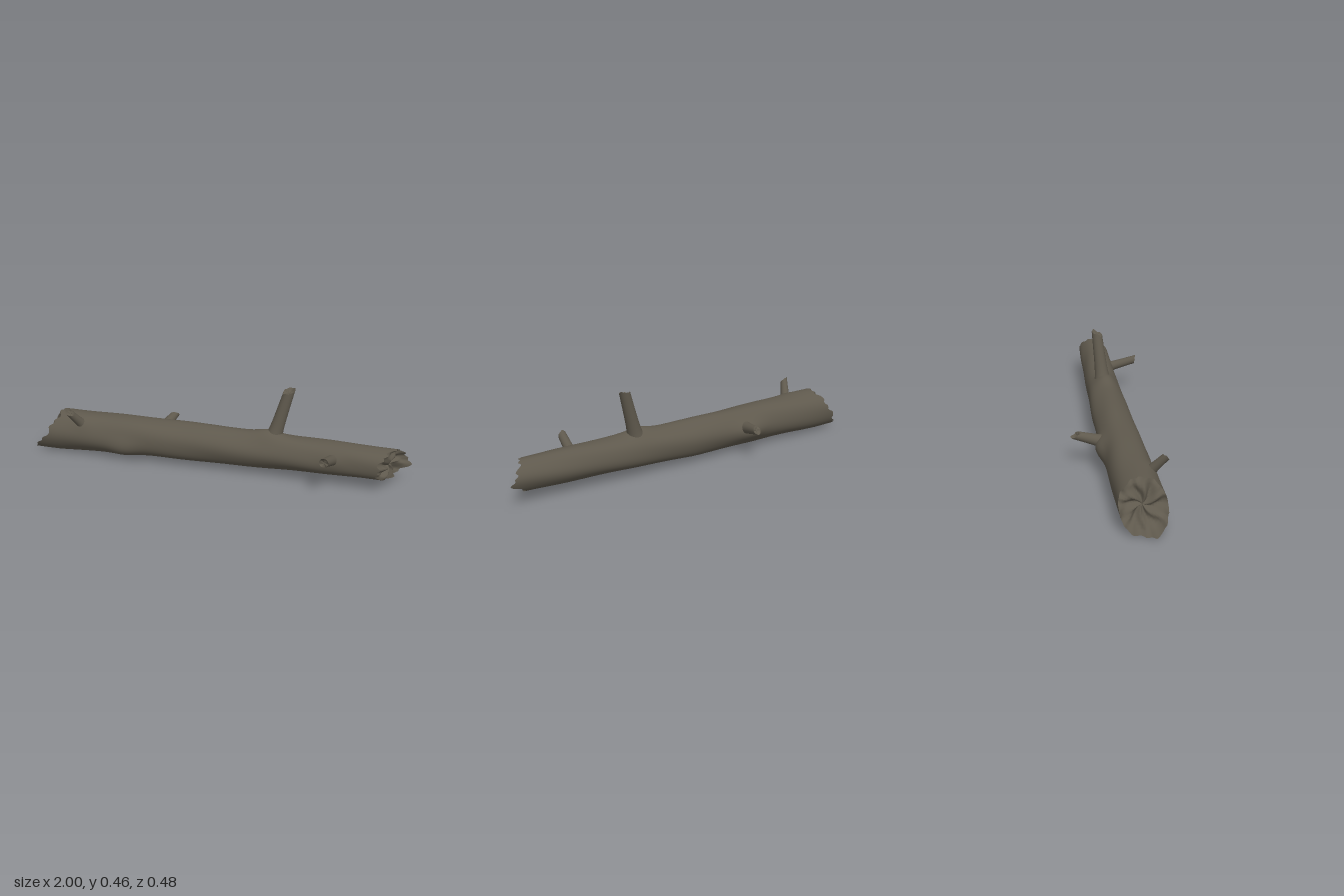
import * as THREE from 'three';

const { sin, cos, exp, PI } = Math;
const lerp = THREE.MathUtils.lerp;

// Closed-around surface: rows run along the length, columns run around it
function tube(rows, cols, point) {
  const pos = [], index = [];
  for (let i = 0; i <= rows; i++) {
    for (let j = 0; j < cols; j++) pos.push(...point(i / rows, (j / cols) * 2 * PI));
  }
  for (let i = 0; i < rows; i++) {
    for (let j = 0; j < cols; j++) {
      const a = i * cols + j, b = i * cols + ((j + 1) % cols);
      index.push(a, a + cols, b, b, a + cols, b + cols);
    }
  }
  const geo = new THREE.BufferGeometry();
  geo.setAttribute('position', new THREE.Float32BufferAttribute(pos, 3));
  geo.setIndex(index);
  geo.computeVertexNormals();
  return geo;
}

// Trunk axis and radius: x, centre y, centre z, radius
const stations = [
  [-1.0, 0.113, 0.0, 0.109], [-0.85, 0.114, 0.0, 0.11], [-0.5, 0.122, 0.0, 0.103],
  [0.0, 0.127, 0.0, 0.098], [0.4, 0.134, 0.013, 0.089], [0.9, 0.14, 0.033, 0.08], [1.0, 0.14, 0.036, 0.078],
];
// Swellings of the bark: x, angle, height, length, angular width
const swellings = [
  [0.28, PI / 2, 0.02, 0.07, 0.5],
  [-0.35, PI - 0.05, 0.026, 0.08, 0.5],
  [-0.48, -0.5, 0.018, 0.08, 0.6],
  [0.62, 0.2, 0.006, 0.05, 0.4],
  [-0.7, 0.8, 0.006, 0.05, 0.4],
];
const angleGap = (a, b) => Math.atan2(sin(a - b), cos(a - b));
const bell = (d, w) => exp(-(d * d) / (w * w));

function trunkPoint(x, a, scale = 1) {
  let k = 0;
  while (k < stations.length - 2 && x > stations[k + 1][0]) k++;
  const s = stations[k], e = stations[k + 1];
  const t = THREE.MathUtils.clamp((x - s[0]) / (e[0] - s[0]), 0, 1);
  let r = lerp(s[3], e[3], t) + 0.0015 * sin(5 * a + 6 * x) + 0.001 * sin(17 * x + 2 * a);
  for (const [sx, sa, h, len, wide] of swellings) r += h * bell(x - sx, len) * bell(angleGap(a, sa), wide);
  r *= scale;
  return [x, lerp(s[1], e[1], t) + r * sin(a), lerp(s[2], e[2], t) + r * cos(a)];
}

// Splintered rims at both ends
const splinter = (a) => 0.008 * sin(7 * a + 1) + 0.006 * sin(13 * a) + 0.004 * sin(19 * a + 2);
const leftRim = (a) => -0.905 + 0.066 * sin(a) - 0.035 * bell(angleGap(a, -0.9), 0.45) + splinter(a);
const rightRim = (a) => 0.898 - 0.055 * cos(a) + 0.012 * sin(a)
  + 0.04 * bell(angleGap(a, PI + 0.15), 0.4) + splinter(a + 2);

// Broken end face with twisted ridges; t = 0 at the rim, 1 at the heart
function breakPoint(rim, heart, t, a) {
  const ridge = 0.014 * sin(6 * a + 5 * t) * sin(PI * t);
  return trunkPoint(lerp(rim(a), heart, Math.sqrt(t)) + ridge, a, 1 - t);
}

// Broken branch stub; lean is the side on which its tip reaches furthest
function branch(material, { name, from, to, r0, r1, lean, slant }) {
  const base = new THREE.Vector3(...from);
  const w = new THREE.Vector3(...to).sub(base);
  const length = w.length();
  w.normalize();
  const u = new THREE.Vector3(...lean).projectOnPlane(w).normalize();
  const v = new THREE.Vector3().crossVectors(u, w);
  const at = (r, a, h) => base.clone().addScaledVector(u, r * cos(a))
    .addScaledVector(v, r * sin(a)).addScaledVector(w, h).toArray();
  const tip = (a) => length + slant * cos(a) + r1 * (0.12 * sin(5 * a) + 0.1 * sin(3 * a + 1));
  const group = new THREE.Group();
  group.name = name;
  const side = new THREE.Mesh(tube(12, 20, (t, a) =>
    at(lerp(r0, r1, t) + r0 * 0.3 * exp(-t * 7), a, t * tip(a))), material);
  side.name = 'branchBark';
  const end = new THREE.Mesh(tube(5, 20, (t, a) =>
    at(r1 * (1 - t), a, lerp(tip(a), length - r1 * 0.5, Math.sqrt(t)) + 0.1 * r1 * sin(5 * a) * sin(PI * t))), material);
  end.name = 'branchBreak';
  group.add(side, end);
  return group;
}

export function createModel() {
  const model = new THREE.Group();
  model.name = 'fallenLog';
  const bark = new THREE.MeshStandardMaterial({ color: 0x5f594d });
  bark.name = 'grey brown bark';

  const add = (name, geo) => {
    const mesh = new THREE.Mesh(geo, bark);
    mesh.name = name;
    model.add(mesh);
  };
  add('trunk', tube(70, 64, (t, a) => trunkPoint(lerp(leftRim(a), rightRim(a), t), a)));
  add('rightBreak', tube(10, 64, (t, a) => breakPoint(leftRim, -0.875, 1 - t, a)));
  add('leftBreak', tube(10, 64, (t, a) => breakPoint(rightRim, 0.885, t, a)));

  const branches = [
    { name: 'topBranch', from: [0.305, 0.2, 0.002], to: [0.374, 0.452, -0.018],
      r0: 0.035, r1: 0.027, lean: [1, 0, -1], slant: 0.017 },
    { name: 'frontBranch', from: [0.622, 0.15, 0.07], to: [0.597, 0.2, 0.225],
      r0: 0.026, r1: 0.022, lean: [-0.5, 1, 0], slant: 0.014 },
    { name: 'cornerBranch', from: [-0.708, 0.175, 0.06], to: [-0.75, 0.267, 0.128],
      r0: 0.024, r1: 0.018, lean: [-1, 0.3, 0], slant: 0.014 },
    { name: 'backBranch', from: [-0.313, 0.142, -0.08], to: [-0.287, 0.174, -0.218],
      r0: 0.031, r1: 0.021, lean: [0.3, -1, 0], slant: 0.018 },
  ];
  for (const b of branches) model.add(branch(bark, b));
  return model;
}
